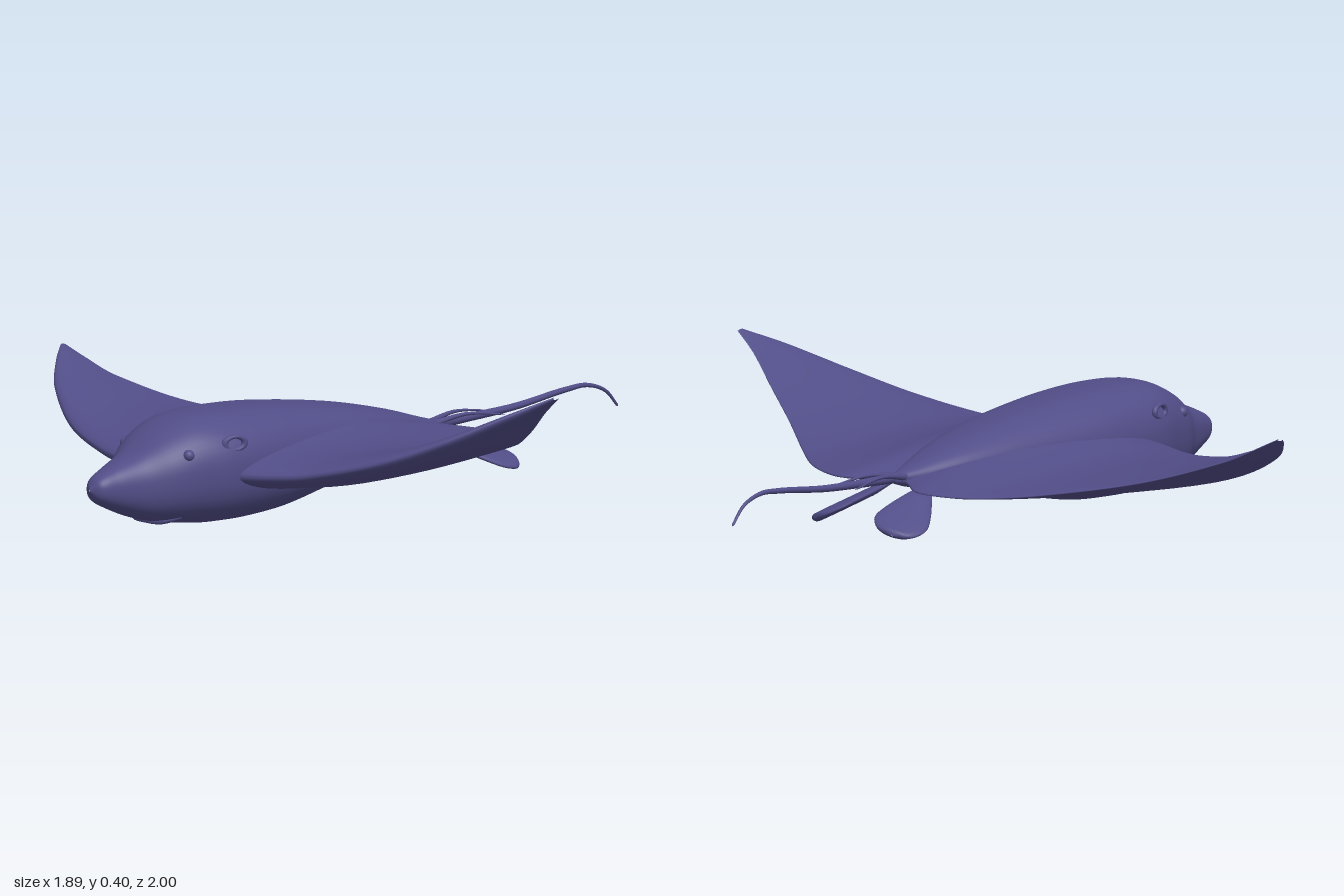
import * as THREE from 'three';

const V = (x, y, z) => new THREE.Vector3(x, y, z);
const skin = new THREE.MeshStandardMaterial({ color: 0x514d87 });

// Smooth interpolation through rows [t, a, b, ...] sorted by t
function sample(rows, t) {
  const n = rows.length;
  t = Math.min(Math.max(t, rows[0][0]), rows[n - 1][0]);
  let i = 0;
  while (i < n - 2 && t > rows[i + 1][0]) i++;
  const p = rows[i], q = rows[i + 1], h = q[0] - p[0], u = (t - p[0]) / h;
  const slope = (k, c) => {
    const a = rows[Math.max(k - 1, 0)], b = rows[Math.min(k + 1, n - 1)];
    return (b[c] - a[c]) / (b[0] - a[0]);
  };
  return p.slice(1).map((_, k) => {
    const c = k + 1, u2 = u * u, u3 = u2 * u;
    return (2 * u3 - 3 * u2 + 1) * p[c] + (u3 - 2 * u2 + u) * h * slope(i, c)
      + (3 * u2 - 2 * u3) * q[c] + (u3 - u2) * h * slope(i + 1, c);
  });
}

// Elliptical ring; ax cross ay points along the loft, e < 1 gives a squarer section
function ring(c, ax, ay, rx, ry, n, e = 1) {
  const pow = (v) => Math.sign(v) * Math.abs(v) ** e;
  return Array.from({ length: n }, (_, j) => {
    const a = (j / n) * Math.PI * 2;
    return c.clone().addScaledVector(ax, rx * pow(Math.cos(a))).addScaledVector(ay, ry * pow(Math.sin(a)));
  });
}

// Skin over a list of closed rings
function loft(rings) {
  const n = rings[0].length, index = [];
  for (let i = 0; i < rings.length - 1; i++) {
    for (let j = 0; j < n; j++) {
      const a = i * n + j, b = i * n + ((j + 1) % n);
      index.push(a, b, a + n, b, b + n, a + n);
    }
  }
  const g = new THREE.BufferGeometry().setFromPoints(rings.flat());
  g.setIndex(index);
  g.computeVertexNormals();
  return g;
}

// Wing stations: x, leading z, trailing z, mid height, half thickness
const WING = [
  [-0.95, 0.215, 0.195, 0.302, 0.004], [-0.9, 0.275, 0.18, 0.277, 0.012],
  [-0.8, 0.37, 0.143, 0.23, 0.022], [-0.6, 0.49, 0.02, 0.165, 0.033],
  [-0.4, 0.56, -0.18, 0.132, 0.04], [-0.28, 0.59, -0.287, 0.125, 0.044],
  [-0.2, 0.61, -0.337, 0.128, 0.046], [-0.12, 0.62, -0.348, 0.133, 0.046],
  [-0.05, 0.62, -0.3, 0.14, 0.046], [0, 0.62, -0.28, 0.145, 0.046],
  [0.05, 0.62, -0.305, 0.148, 0.046], [0.12, 0.62, -0.363, 0.148, 0.046],
  [0.2, 0.615, -0.35, 0.148, 0.046], [0.3, 0.575, -0.3, 0.152, 0.044],
  [0.4, 0.53, -0.225, 0.163, 0.041], [0.6, 0.44, -0.072, 0.215, 0.033],
  [0.75, 0.34, 0.018, 0.28, 0.025], [0.87, 0.22, 0.078, 0.352, 0.014],
  [0.94, 0.115, 0.092, 0.402, 0.004],
];

// Body stations: z, centre x, half width, bottom y, top y
const BODY = [
  [-0.32, -0.008, 0.008, 0.142, 0.16], [-0.25, -0.004, 0.04, 0.122, 0.178],
  [-0.1, 0, 0.1, 0.1, 0.222], [0.1, 0.01, 0.15, 0.065, 0.265],
  [0.35, 0.02, 0.19, 0.016, 0.298], [0.5, 0.03, 0.195, 0.005, 0.308],
  [0.62, 0.036, 0.185, 0.006, 0.308], [0.7, 0.04, 0.162, 0.014, 0.298],
  [0.78, 0.042, 0.132, 0.026, 0.264], [0.85, 0.047, 0.088, 0.045, 0.222],
  [0.93, 0.05, 0.054, 0.077, 0.19], [0.98, 0.052, 0.032, 0.104, 0.166],
  [1, 0.053, 0.001, 0.134, 0.138],
];

function wingGeometry() {
  const rings = [], n = 44, steps = 110;
  for (let i = 0; i <= steps; i++) {
    const u = (i / steps) * 2 - 1;
    const x = -0.005 + 0.945 * (0.45 * u + 0.55 * Math.sin((u * Math.PI) / 2));
    const [lead, trail, y, th] = sample(WING, x);
    const zc = (lead + trail) / 2, half = (lead - trail) / 2;
    rings.push(Array.from({ length: n }, (_, j) => {
      const a = (j / n) * Math.PI * 2, s = Math.sin(a), c = Math.cos(a);
      // Thicker toward the front, swelling up to meet the body
      const swell = 0.085 * Math.exp(-(((x - 0.02) / 0.2) ** 2)) * c * c * (0.7 + 0.3 * s);
      const t = (th / 0.72) * (0.62 + 0.38 * s) * c;
      return V(x, y + t + (c > 0 ? swell : -0.6 * swell), zc + half * s);
    }));
  }
  return loft(rings);
}

function bodyGeometry() {
  const rings = [], steps = 80;
  for (let i = 0; i <= steps; i++) {
    const z = -0.32 + 1.32 * Math.sin((i / steps) * Math.PI / 2);
    const [cx, w, lo, hi] = sample(BODY, z);
    rings.push(ring(V(cx, (lo + hi) / 2, z), V(1, 0, 0), V(0, 1, 0), w, (hi - lo) / 2, 48, 0.84));
  }
  return loft(rings);
}

// Tapered whip through a few points, running toward -z
function whip(points, r0, r1, steps) {
  const curve = new THREE.CatmullRomCurve3(points);
  const rings = [];
  for (let i = 0; i <= steps; i++) {
    const t = i / steps, r = i === steps ? 0.0003 : r0 + (r1 - r0) * Math.sqrt(t);
    const d = curve.getPoint(t), tan = curve.getTangent(t);
    const ax = V(1, 0, 0).addScaledVector(tan, -tan.x).normalize();
    rings.push(ring(d, ax, tan.clone().cross(ax), r, r, 10));
  }
  return loft(rings);
}

// Drooping paddle fin, its outer edge lower than its inner edge
function pelvicFinGeometry(s) {
  const profile = [[0, 0.015], [0.25, 0.04], [0.55, 0.066], [0.75, 0.074], [0.9, 0.058], [0.97, 0.034], [1, 0.002]];
  const root = V(s * 0.065 - 0.01, 0.13, -0.25), tip = V(s * 0.142 - 0.012, 0.04 + s * 0.008, -0.475);
  const d = tip.clone().sub(root).normalize();
  const w = V(1, -0.35 * s, 0.2 * s);
  w.addScaledVector(d, -w.dot(d)).normalize();
  const normal = d.clone().cross(w);
  const rings = [];
  for (let i = 0; i <= 28; i++) {
    const t = Math.sin((i / 28) * Math.PI / 2), [r] = sample(profile, t);
    rings.push(ring(root.clone().lerp(tip, t), w, normal, r, Math.min(0.012, r * 0.3), 24));
  }
  return loft(rings);
}

export function createModel() {
  const model = new THREE.Group();
  model.name = 'ray';
  const add = (name, geometry, pos) => {
    const mesh = new THREE.Mesh(geometry, skin);
    mesh.name = name;
    if (pos) mesh.position.set(...pos);
    model.add(mesh);
    return mesh;
  };

  add('wings', wingGeometry());
  add('body', bodyGeometry());

  // Tail with a pair of thin stings at its root
  add('tail', whip([V(0, 0.152, -0.25), V(-0.012, 0.155, -0.4), V(-0.025, 0.162, -0.6),
    V(-0.042, 0.182, -0.8), V(-0.047, 0.184, -0.88), V(-0.051, 0.16, -0.95), V(-0.055, 0.11, -1)], 0.018, 0.0035, 60));
  add('leftSting', whip([V(0, 0.155, -0.28), V(0.004, 0.17, -0.4), V(0.015, 0.155, -0.53)], 0.012, 0.002, 16));
  add('rightSting', whip([V(-0.02, 0.155, -0.28), V(-0.045, 0.17, -0.4), V(-0.07, 0.155, -0.53)], 0.012, 0.002, 16));

  for (const s of [1, -1]) {
    const side = s > 0 ? 'left' : 'right';
    add(side + 'PelvicFin', pelvicFinGeometry(s));

    // Eye and the breathing hole behind it
    add(side + 'Eye', new THREE.SphereGeometry(0.016, 18, 12), [0.041 + s * 0.128, 0.217, 0.745]);
    const hole = add(side + 'Spiracle', new THREE.TorusGeometry(0.024, 0.008, 10, 24), [0.036 + s * 0.168, 0.24, 0.61]);
    hole.rotation.set(0, s * 1.3, 0);
    hole.scale.set(1.25, 0.75, 1);
  }

  // Mouth ridge under the head
  const lip = new THREE.CatmullRomCurve3([V(-0.05, 0.045, 0.74), V(-0.01, 0.031, 0.78),
    V(0.042, 0.03, 0.79), V(0.095, 0.031, 0.78), V(0.135, 0.045, 0.74)]);
  add('mouth', new THREE.TubeGeometry(lip, 24, 0.008, 8));

  return model;
}
